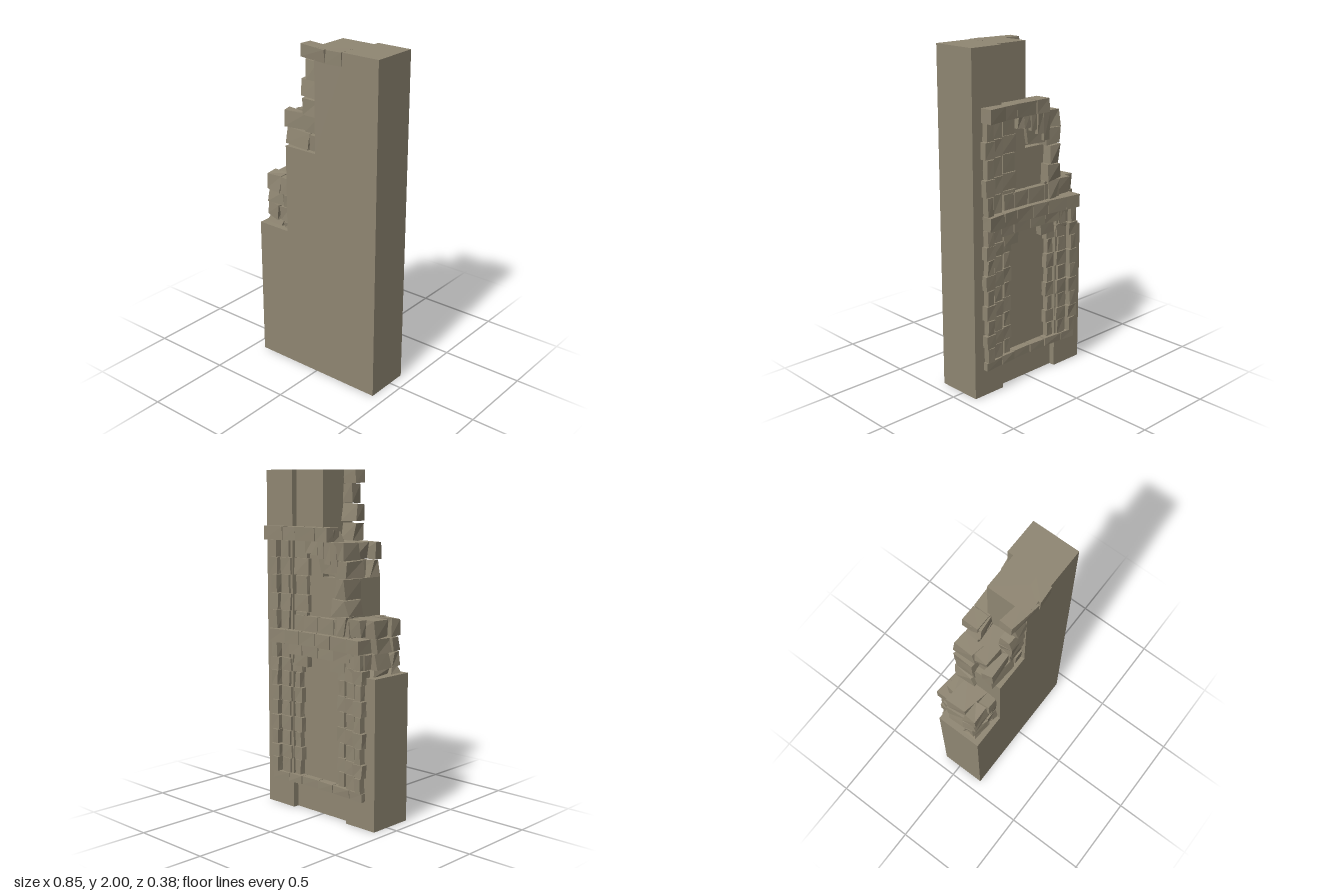
import * as THREE from 'three';

export function createModel() {
  const model = new THREE.Group();
  const stoneMat = new THREE.MeshStandardMaterial({ color: 0x8f8672 });
  stoneMat.name = 'weathered stone';

  let seed = 7;
  const rand = () => {
    seed = (seed * 16807) % 2147483647;
    return seed / 2147483647 - 0.5;
  };

  const group = (name) => {
    const g = new THREE.Group();
    g.name = name;
    model.add(g);
    return g;
  };

  // Hewn block: a box whose eight corners are nudged; zSkew shifts z from the x0 end to the x1 end
  function stone(parent, name, [x0, x1, y0, y1, z0, z1], rough = 0.006, zSkew = 0) {
    const geo = new THREE.BoxGeometry(1, 1, 1).toNonIndexed();
    const nudge = Array.from({ length: 8 }, () => [rand() * rough, rand() * rough * 0.4, rand() * rough]);
    const p = geo.attributes.position;
    for (let i = 0; i < p.count; i++) {
      const [a, b, c] = [p.getX(i) > 0, p.getY(i) > 0, p.getZ(i) > 0];
      const n = nudge[a * 4 + b * 2 + c * 1];
      p.setXYZ(i, (a ? x1 : x0) + n[0], (b ? y1 : y0) + n[1],
        (c ? z1 : z0) + n[2] + (a ? zSkew : 0));
    }
    geo.computeVertexNormals();
    const mesh = new THREE.Mesh(geo, stoneMat);
    mesh.name = name;
    parent.add(mesh);
  }

  // Stepped wall core, with a recess in the middle of the back
  const core = new THREE.Shape();
  [[-0.215, 0], [0.212, 0], [0.212, 2], [0, 2], [0, 1.4], [-0.215, 1.4]]
    .forEach(([x, y], i) => (i ? core.lineTo(x, y) : core.moveTo(x, y)));
  const coreMesh = new THREE.Mesh(
    new THREE.ExtrudeGeometry(core, { depth: 0.245, bevelEnabled: false }).translate(0, 0, -0.075), stoneMat);
  coreMesh.name = 'wallCore';
  model.add(coreMesh);
  const piers = group('piers');
  stone(piers, 'tallPier', [0.212, 0.425, 0, 2, -0.11, 0.17], 0);
  stone(piers, 'lowPier', [-0.428, -0.215, 0, 0.87, -0.11, 0.17], 0);

  // Vertical stacks of blocks, given by their joint heights
  const lowJoints = [0.21, 0.3, 0.38, 0.47, 0.56, 0.65, 0.74, 0.83, 0.91, 1.0];
  const highJoints = [1.08, 1.19, 1.29, 1.4, 1.5, 1.6];
  function stack(name, joints, x0, x1, z0, z1, rough = 0.006) {
    const g = group(name);
    for (let i = 0; i < joints.length - 1; i++) {
      const d = (i % 2 ? 0.008 : -0.004);
      stone(g, 'block', [x0 - d, x1 + d, joints[i] + 0.002, joints[i + 1] - 0.002, z0, z1], rough);
    }
  }
  for (const s of [1, -1]) {
    const side = s > 0 ? 'left' : 'right';
    const span = (a, b) => (s > 0 ? [a, b] : [-b, -a]);
    stack(side + 'OuterJamb', lowJoints, ...span(0.305, 0.358), -0.148, -0.08);
    stack(side + 'MiddleJamb', lowJoints, ...span(0.225, 0.29), -0.124, -0.07);
    stack(side + 'InnerJamb', lowJoints, ...span(0.15, 0.2), -0.108, -0.06);
    // Corbels in the upper corners of the doorway
    stone(group(side + 'Corbel'), 'corbel', [...span(0.09, 0.2), 0.87, 0.95, -0.112, -0.06]);
  }
  stack('upperOuterJamb', highJoints, 0.305, 0.358, -0.148, -0.08);
  stack('upperMiddleJamb', highJoints, 0.225, 0.29, -0.124, -0.07);
  stack('upperInnerJamb', highJoints, 0.1, 0.2, -0.1, -0.06);
  stack('brokenQuoin', highJoints, -0.222, -0.14, -0.125, 0.0, 0.03);

  // Horizontal courses bowing outward toward their ends
  function course(name, cuts, y0, y1, mid, bow, zFront, rough = 0.005) {
    const g = group(name);
    const back = (x) => mid - bow * (x / 0.36) ** 2;
    for (let i = 0; i < cuts.length - 1; i++) {
      const [a, b] = [cuts[i] + 0.002, cuts[i + 1] - 0.002];
      const skew = back(b) - back(a);
      stone(g, 'block', [a, b, y0, y1, back(a), zFront - Math.min(skew, 0)], rough, skew);
    }
  }
  const cuts = [-0.36, -0.255, -0.12, 0, 0.13, 0.235, 0.36];
  course('sillCourse', cuts, 0.162, 0.21, -0.12, 0.02, -0.06);
  course('lintelCourse', cuts.slice(1, 6), 0.935, 0.998, -0.118, 0.012, -0.06);
  course('middleCourse', cuts, 1.002, 1.08, -0.145, 0.028, -0.06);
  course('backingCourse', [-0.24, -0.12, 0.01, 0.12, 0.2], 1.08, 1.17, -0.11, 0.01, -0.06);
  course('upperCourse', [-0.11, -0.012, 0.14, 0.235, 0.365], 1.602, 1.68, -0.155, 0.033, -0.06);

  // Short curved row springing beneath the upper course
  const arch = group('archStones');
  for (let i = 0; i < 5; i++) {
    const x = 0.1 - i * 0.05;
    const y = 1.53 - 0.012 * i * i * 0.5;
    stone(arch, 'archBlock', [x - 0.048, x, y, 1.6, -0.12, -0.04], 0.01);
  }

  // Broken masonry on the lowest step, three blocks deep in each row
  const lowRubble = group('lowRubble');
  [[0.872, 0.908, -0.395], [0.912, 0.998, -0.405], [1.002, 1.08, -0.408], [1.084, 1.182, -0.393]]
    .forEach(([y0, y1, x], i) => {
      const split = -0.27 - 0.025 * (i % 2);
      stone(lowRubble, 'faceBlock', [x, split, y0, y1, 0.06, 0.13], 0.03, 0.015);
      stone(lowRubble, 'faceBlock', [split + 0.005, -0.215, y0, y1, 0.075, 0.145], 0.015);
      stone(lowRubble, 'coreBlock', [x + 0.015, -0.215, y0, y1, -0.068, 0.062], 0.025, 0.012);
      if (i < 2) stone(lowRubble, 'backBlock', [x + 0.04, -0.215, y0, y1, -0.125, -0.07], 0.015);
    });
  stone(lowRubble, 'backBlock', [-0.318, -0.2, 1.084, 1.182, -0.118, -0.06], 0.02, 0.01);
  stone(lowRubble, 'backBlock', [-0.2, -0.12, 1.084, 1.19, -0.11, -0.04], 0.02, 0.01);

  // Broken masonry on the middle step
  const midRubble = group('middleRubble');
  [[1.402, 1.495, -0.235, -0.06], [1.505, 1.6, -0.255, -0.1]].forEach(([y0, y1, x, split]) => {
    stone(midRubble, 'faceBlock', [x, split, y0, y1, 0.082, 0.136], 0.025, 0.008);
    stone(midRubble, 'faceBlock', [split + 0.005, 0.01, y0, y1, 0.088, 0.15], 0.01);
    stone(midRubble, 'coreBlock', [x + 0.055, 0.005, y0, y1, -0.04, 0.082], 0.025, 0.006);
  });
  stone(midRubble, 'backBlock', [-0.18, 0.005, 1.42, 1.53, -0.105, -0.04], 0.03);
  stone(midRubble, 'backBlock', [-0.11, 0.005, 1.6, 1.67, -0.11, -0.04], 0.03);

  // Toothed edge and projecting cap beside the tower
  const topRubble = group('topRubble');
  [[1.602, 1.7, -0.1], [1.71, 1.81, -0.108], [1.815, 1.922, -0.068]].forEach(([y0, y1, x]) =>
    stone(topRubble, 'toothBlock', [x, 0.01, y0, y1, 0.08, 0.155], 0.025, 0.006));
  stone(topRubble, 'capBlock', [-0.105, 0.082, 1.926, 2.0, 0.085, 0.16], 0.01, 0.024);
  stone(topRubble, 'capBlock', [0.088, 0.19, 1.926, 2.0, 0.09, 0.184], 0.004, -0.008);

  return model;
}
